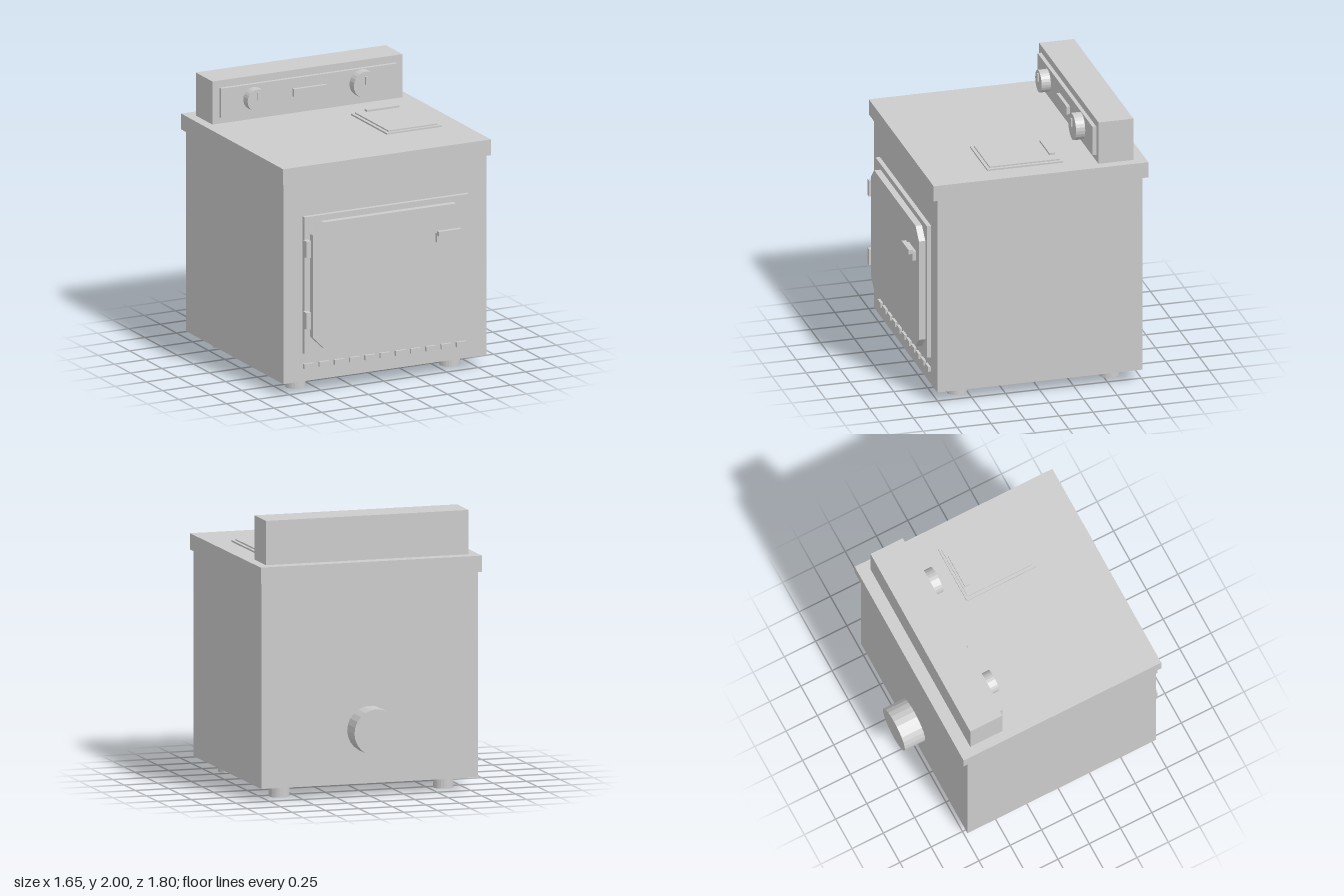
import * as THREE from 'three';

const material = new THREE.MeshStandardMaterial({ color: 0xcccccc, flatShading: true });

export function createModel() {
  const model = new THREE.Group();
  model.name = 'oven';

  const add = (name, geometry, x = 0, y = 0, z = 0) => {
    const mesh = new THREE.Mesh(geometry, material);
    mesh.name = name;
    mesh.position.set(x, y, z);
    model.add(mesh);
    return mesh;
  };
  // Box given by its limits on each axis
  const box = (name, x0, x1, y0, y1, z0, z1) =>
    add(name, new THREE.BoxGeometry(x1 - x0, y1 - y0, z1 - z0),
      (x0 + x1) / 2, (y0 + y1) / 2, (z0 + z1) / 2);
  // Cylinder lying along z
  const disc = (name, r, x, y, z0, z1) =>
    add(name, new THREE.CylinderGeometry(r, r, z1 - z0, 24).rotateX(Math.PI / 2), x, y, (z0 + z1) / 2);

  // Cabinet, worktop and rear console
  box('cabinet', -0.808, 0.808, 0.09, 1.57, -0.74, 0.768);
  box('worktop', -0.825, 0.825, 1.567, 1.683, -0.78, 0.8);
  box('console', -0.755, 0.755, 1.683, 2, -0.69, -0.433);

  // Control panel with display, knobs and pointers
  box('controlPanel', -0.7, 0.7, 1.73, 1.947, -0.433, -0.405);
  box('display', -0.132, 0.13, 1.815, 1.873, -0.405, -0.38);
  for (const [x, r] of [[-0.442, 0.082], [0.418, 0.098]]) {
    disc('knob', r, x, 1.844, -0.405, -0.337);
    box('knobPointer', x - 0.009, x + 0.009, 1.847, 1.905, -0.337, -0.326);
  }

  // Hatch on the worktop
  box('hatchFrame', 0.225, 0.664, 1.683, 1.695, -0.2, 0.358);
  box('hatchLid', 0.249, 0.641, 1.695, 1.705, -0.182, 0.335);
  box('hatchHandle', 0.316, 0.574, 1.713, 1.727, -0.167, -0.124);

  // Door frame and door with cut corners
  box('doorFrame', -0.655, 0.652, 0.298, 1.306, 0.76, 0.8);
  const w = 0.612, h = 0.4625, c = 0.085;
  const outline = [[-w + c, -h], [w - c, -h], [w, -h + c], [w, h - c],
    [w - c, h], [-w + c, h], [-w, h - c], [-w, -h + c]];
  const doorShape = new THREE.Shape(outline.map(([x, y]) => new THREE.Vector2(x, y)));
  add('door', new THREE.ExtrudeGeometry(doorShape, { depth: 0.047, bevelEnabled: false }), 0, 0.8015, 0.8);

  // Hinges and latch handle
  for (const y of [0.555, 1.081]) box('hinge', -0.667, -0.631, y - 0.061, y + 0.061, 0.8, 0.855);
  box('handlePlate', 0.36, 0.54, 1.005, 1.075, 0.847, 0.872);
  box('handleGrip', 0.36, 0.54, 1.057, 1.09, 0.87, 0.902);

  // Row of vents under the door
  for (let i = 0; i < 11; i++) {
    const x = -0.611 + i * 0.1212;
    box('vent', x - 0.04, x + 0.04, 0.184, 0.22, 0.76, 0.787);
  }

  // Feet and exhaust pipe
  for (const x of [-0.612, 0.612]) {
    for (const z of [-0.55, 0.572]) {
      add('foot', new THREE.CylinderGeometry(0.074, 0.074, 0.09, 24), x, 0.045, z);
    }
  }
  disc('exhaustPipe', 0.167, 0, 0.477, -0.902, -0.74);

  return model;
}
